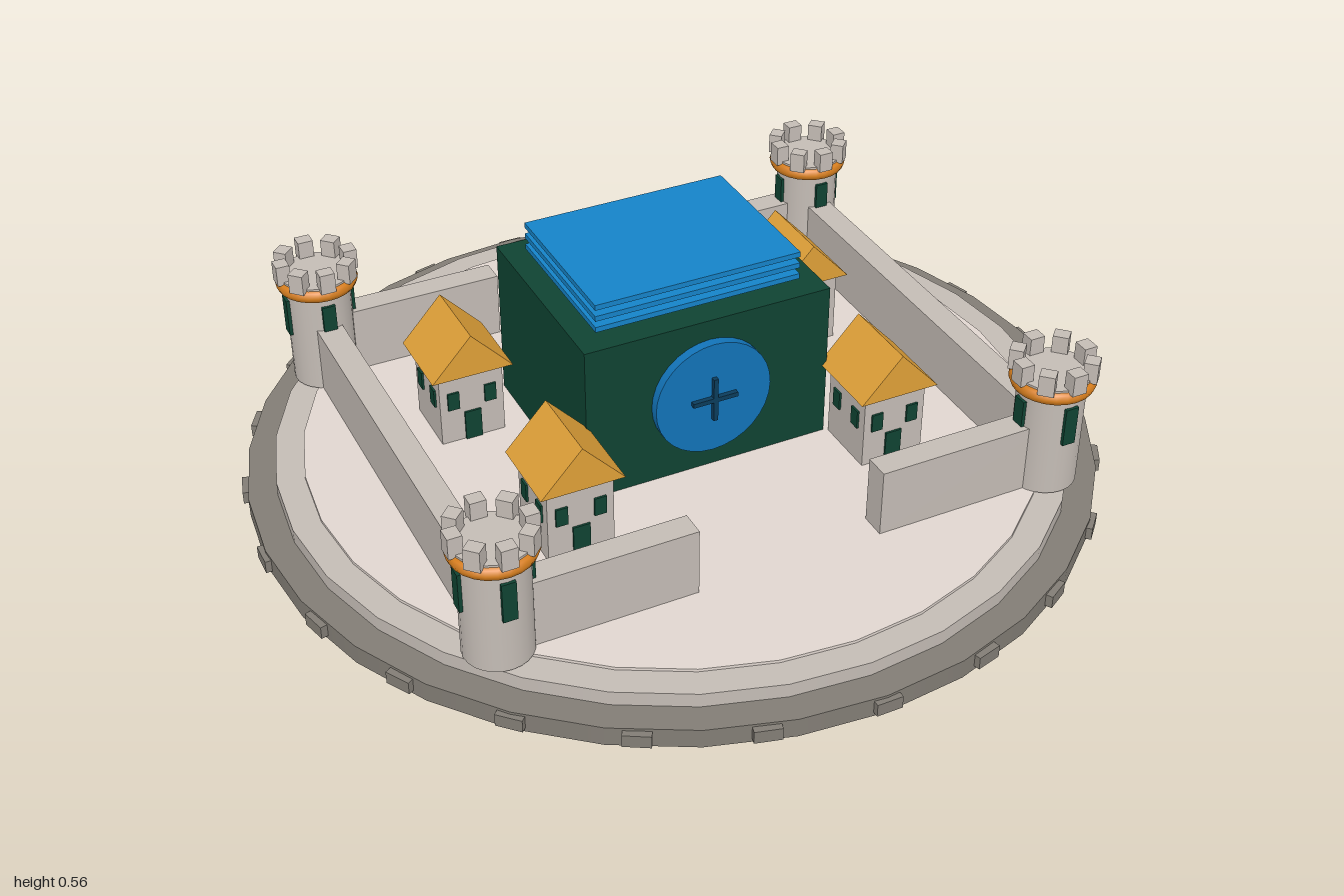
import * as THREE from 'three';

const paint = (color) => new THREE.MeshStandardMaterial({ color });
const STONE = paint(0xc4bcb5), DARK_STONE = paint(0x827d75), GROUND = paint(0xe0d6cf);
const GREEN = paint(0x0f4332), ROOF = paint(0xdfa038), TRIM = paint(0xd87f1e);
const BLUE = paint(0x1583c8), DISC = paint(0x1273b8), CROSS = paint(0x0b3c5c);
const FLOOR = 0.087;

function add(parent, name, geometry, material, x = 0, y = 0, z = 0) {
  const mesh = new THREE.Mesh(geometry, material);
  mesh.name = name;
  mesh.position.set(x, y, z);
  parent.add(mesh);
  return mesh;
}
const box = (parent, name, mat, w, h, d, x, y, z) =>
  add(parent, name, new THREE.BoxGeometry(w, h, d), mat, x, y, z);
// Upright cylinder placed by its bottom and top heights
const drum = (parent, name, mat, r, y0, y1, sides = 32) =>
  add(parent, name, new THREE.CylinderGeometry(r, r, y1 - y0, sides), mat, 0, (y0 + y1) / 2, 0);

// Blocks evenly spaced on a circle, facing outwards
function ring(parent, name, mat, count, r, y, w, h, d) {
  for (let i = 0; i < count; i++) {
    const a = (i / count) * Math.PI * 2;
    box(parent, name, mat, w, h, d, Math.sin(a) * r, y, Math.cos(a) * r).rotation.y = a;
  }
}

function base() {
  const g = new THREE.Group();
  g.name = 'base';
  drum(g, 'bottomTier', DARK_STONE, 0.988, 0, 0.046);
  drum(g, 'middleTier', STONE, 0.922, 0.046, 0.08);
  drum(g, 'courtyard', GROUND, 0.857, 0.08, FLOOR);
  ring(g, 'rimBlock', DARK_STONE, 24, 0.984, 0.025, 0.06, 0.03, 0.03);
  return g;
}

function tower() {
  const g = new THREE.Group();
  g.name = 'tower';
  drum(g, 'towerBody', STONE, 0.077, FLOOR, 0.345, 24);
  ring(g, 'towerWindow', GREEN, 4, 0.074, 0.268, 0.032, 0.095, 0.018);
  add(g, 'towerTrim', new THREE.TorusGeometry(0.08, 0.017, 8, 24).rotateX(Math.PI / 2), TRIM, 0, 0.35, 0);
  drum(g, 'towerCap', STONE, 0.085, 0.345, 0.37, 24);
  ring(g, 'merlon', STONE, 8, 0.082, 0.387, 0.036, 0.05, 0.032);
  return g;
}

function house() {
  const g = new THREE.Group();
  g.name = 'house';
  const w = 0.155;
  box(g, 'houseBody', STONE, w, 0.27 - FLOOR, w, 0, (0.27 + FLOOR) / 2, 0);
  // Gabled roof with its ridge running front to back
  const gable = new THREE.Shape([
    new THREE.Vector2(-0.098, 0), new THREE.Vector2(0.098, 0), new THREE.Vector2(0, 0.106)]);
  add(g, 'houseRoof', new THREE.ExtrudeGeometry(gable, { depth: 0.194, bevelEnabled: false }),
    ROOF, 0, 0.27, -0.097);
  box(g, 'door', GREEN, 0.04, 0.075, 0.01, 0, FLOOR + 0.0375, w / 2);
  for (const s of [-1, 1]) {
    box(g, 'frontWindow', GREEN, 0.028, 0.045, 0.01, s * 0.045, 0.2, w / 2);
    for (const t of [-1, 1])
      box(g, 'sideWindow', GREEN, 0.01, 0.045, 0.028, s * w / 2, 0.2, t * 0.04);
  }
  return g;
}

function keep() {
  const g = new THREE.Group();
  g.name = 'keep';
  box(g, 'keepBody', GREEN, 0.6, 0.476 - FLOOR, 0.494, 0, (0.476 + FLOOR) / 2, -0.055);
  // Stacked floating roof slabs
  for (let i = 0; i < 3; i++)
    box(g, 'roofSlab', BLUE, 0.5, 0.013, 0.387, 0, 0.493 + i * 0.028, -0.053);
  // Round emblem plate with a crossed pair of bars
  add(g, 'frontDisc', new THREE.CylinderGeometry(0.142, 0.142, 0.025, 32).rotateX(Math.PI / 2),
    DISC, 0, 0.285, 0.202);
  box(g, 'crossBar', CROSS, 0.11, 0.011, 0.014, 0, 0.285, 0.219);
  box(g, 'crossPost', CROSS, 0.011, 0.11, 0.014, 0, 0.285, 0.219);
  return g;
}

export function createModel() {
  const model = new THREE.Group();
  model.name = 'castle';
  model.add(base(), keep());

  const TX = 0.662, TZ = 0.552, wallH = 0.25 - FLOOR, wallY = (0.25 + FLOOR) / 2;
  for (const sx of [-1, 1]) {
    box(model, 'sideWall', STONE, 0.062, wallH, TZ * 2, sx * TX, wallY, 0);
    for (const sz of [-1, 1]) {
      const t = tower();
      t.position.set(sx * TX, 0, sz * TZ);
      model.add(t);
      // Gate walls leave an opening in the middle
      box(model, 'gateWall', STONE, TX - 0.22, wallH, 0.06, sx * (TX + 0.22) / 2, wallY, sz * TZ);
    }
    // Two houses on each side of the keep
    for (const [x, z] of [[0.387, 0.275], [0.44, -0.22]]) {
      const h = house();
      h.position.set(sx * x, 0, z);
      model.add(h);
    }
  }
  return model;
}
